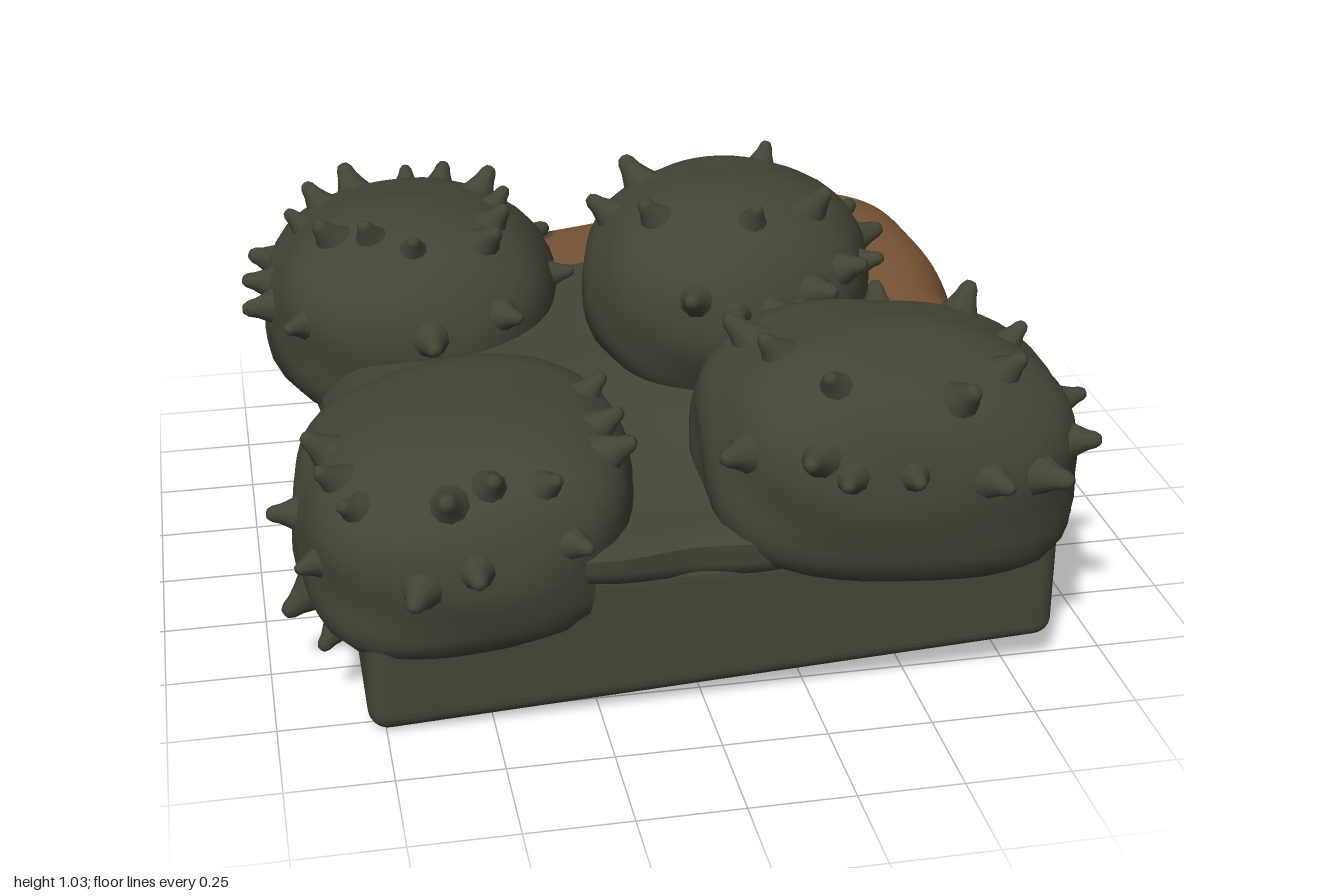
import * as THREE from 'three';
import { mergeGeometries } from 'three/addons/utils/BufferGeometryUtils.js';
import { RoundedBoxGeometry } from 'three/addons/geometries/RoundedBoxGeometry.js';

const rad = THREE.MathUtils.degToRad;
const smooth = THREE.MathUtils.smoothstep;

// Piecewise linear lookup through [x, y] points
function lerpList(list, x) {
  for (let i = 1; i < list.length; i++) {
    if (x <= list[i][0]) {
      const [a, b] = [list[i - 1], list[i]];
      return THREE.MathUtils.mapLinear(x, a[0], b[0], a[1], b[1]);
    }
  }
  return list[list.length - 1][1];
}

// Square slab whose underside slopes up to the right and back
function slab(material) {
  const top = 0.38;
  const g = new RoundedBoxGeometry(1.65, top, 1.65, 4, 0.05);
  const p = g.attributes.position;
  for (let i = 0; i < p.count; i++) {
    const x = p.getX(i), y = p.getY(i) + top / 2, z = p.getZ(i) - 0.01;
    const lift = 0.05 * (x + 0.78) + 0.055 * (0.8 - z);
    p.setXYZ(i, x + 0.035, y + lift * (1 - y / top), z);
  }
  g.computeVertexNormals();
  const mesh = new THREE.Mesh(g, material);
  mesh.name = 'baseSlab';
  return mesh;
}

// Mound: rounded-square rings running outward, then curling under the rim
function mound(green, brown) {
  const segs = 220, rings = 70, pos = [];
  const lip = [[1.0, 0.38], [0.99, 0.35], [0.95, 0.33], [0.85, 0.325]];
  const height = (x, z) => 0.45 + 0.13 * (1 - smooth(z, 0.05, 0.75)) + 0.03 * x
    + 0.115 * Math.exp(-((x - 0.5) ** 2 / 0.35 + (z + 0.55) ** 2 / 0.15))
    + 0.008 * Math.sin(9 * x + 3 * z) * Math.sin(8 * z);
  for (let i = 0; i < rings + lip.length; i++) {
    for (let j = 0; j < segs; j++) {
      const a = (j / segs) * Math.PI * 2, c = Math.cos(a), s = Math.sin(a);
      const r = (Math.abs(c) ** 8 + Math.abs(s) ** 8) ** (-1 / 8);
      const wobble = 0.01 * Math.sin(11 * a) + 0.008 * Math.sin(17 * a + 1);
      const u = i < rings ? Math.sin((i / (rings - 1)) * Math.PI / 2) : lip[i - rings][0];
      const k = u * r * (1 + wobble * u);
      const x = 0.06 + k * c * 0.88;
      const z = -0.04 + k * s * 0.865;
      const y = i < rings
        ? 0.42 + (height(x, z) - 0.42) * (1 - u ** 14)
        : lip[i - rings][1] + 0.01 * Math.sin(7 * a);
      pos.push(x, y, z);
    }
  }
  // Bare soil: inner edge as z over x, lower edge on the right side as y over z
  const edge = [[-0.15, -0.46], [0.0, -0.46], [0.12, -0.52], [0.25, -0.47], [0.4, -0.38],
    [0.5, -0.25], [0.57, 0.0], [0.62, 0.18], [0.7, 0.21], [0.81, 0.22], [0.87, 0.0], [0.95, -0.08]];
  const lower = [[-1, 0.52], [-0.85, 0.55], [-0.65, 0.58], [-0.52, 0.48], [-0.35, 0.56],
    [-0.22, 0.5], [-0.1, 0.55], [0.25, 0.54]];
  const isSoil = (x, y, z) => x > -0.12 - 0.05 * smooth(z, -0.75, -0.5) + 0.015 * Math.sin(14 * z)
    && z < lerpList(edge, x) && y > (x > 0.7 ? lerpList(lower, z) : 0.51);
  const lists = [[], []];
  for (let i = 0; i < rings + lip.length - 1; i++) {
    for (let j = 0; j < segs; j++) {
      const n = (j + 1) % segs;
      const a = i * segs + j, b = i * segs + n, c = b + segs, d = a + segs;
      const mid = [0, 1, 2].map(k => (pos[a * 3 + k] + pos[c * 3 + k]) / 2);
      const list = lists[isSoil(...mid) ? 1 : 0];
      if (i > 0) list.push(a, b, c);
      list.push(a, c, d);
    }
  }
  const g = new THREE.BufferGeometry();
  g.setAttribute('position', new THREE.Float32BufferAttribute(pos, 3));
  g.setIndex([...lists[0], ...lists[1]]);
  g.addGroup(0, lists[0].length, 0);
  g.addGroup(lists[0].length, lists[1].length, 1);
  g.computeVertexNormals();
  const mesh = new THREE.Mesh(g, [green, brown]);
  mesh.name = 'soilMound';
  return mesh;
}

// Small blunt thorn with a flared foot
const thornProfile = [[0.055, -0.025], [0.036, 0.008], [0.025, 0.032], [0.02, 0.052], [0.012, 0.064], [0, 0.067]]
  .map(([x, y]) => new THREE.Vector2(x, y));

// Squarish lumpy ball with thorns at [azimuth, elevation] in degrees (0 = +x, 90 = +z).
// plan, upper and lower set how square it is from above, over and under its middle;
// tilt is the slope of its crown along x and z.
function thornyBall({ name, at, size, plan, upper, lower, tilt, thorns }, material) {
  const surface = d => {
    const h = (Math.abs(d.x) ** plan + Math.abs(d.z) ** plan) ** (1 / plan);
    const power = d.y > 0 ? upper : lower;
    const lump = 1 + 0.018 * Math.sin(5 * d.x + 3 * d.y + at[0] * 9) * Math.sin(6 * d.z + 2)
      + 0.012 * Math.sin(9 * d.z + 7 * d.y);
    const r = (h ** power + Math.abs(d.y) ** power) ** (-1 / power) * lump;
    const q = new THREE.Vector3(d.x * size[0], d.y * size[1], d.z * size[2]).multiplyScalar(r);
    q.y += tilt[0] * q.x + tilt[1] * q.z;
    return q;
  };
  const group = new THREE.Group();
  group.name = name;
  group.position.set(...at);

  const g = new THREE.SphereGeometry(1, 40, 28);
  const p = g.attributes.position, nrm = g.attributes.normal, v = new THREE.Vector3();
  for (let i = 0; i < p.count; i++) {
    const q = surface(v.fromBufferAttribute(p, i).normalize());
    p.setXYZ(i, q.x, q.y, q.z);
  }
  g.computeVertexNormals();
  // Match the normals on both sides of the seam
  for (let i = 0; i <= 28; i++) {
    const a = i * 41, b = a + 40;
    v.fromBufferAttribute(nrm, a).add(new THREE.Vector3().fromBufferAttribute(nrm, b)).normalize();
    nrm.setXYZ(a, v.x, v.y, v.z);
    nrm.setXYZ(b, v.x, v.y, v.z);
  }
  const body = new THREE.Mesh(g, material);
  body.name = 'ballBody';
  group.add(body);

  const up = new THREE.Vector3(0, 1, 0);
  const parts = thorns.map(([az, el], i) => {
    const a = rad(az), e = rad(el);
    const d = new THREE.Vector3(Math.cos(a) * Math.cos(e), Math.sin(e), Math.sin(a) * Math.cos(e));
    const turn = new THREE.Quaternion().setFromUnitVectors(up, d);
    const s = 0.85 + 0.12 * (i % 3);
    return new THREE.LatheGeometry(thornProfile, 9)
      .applyMatrix4(new THREE.Matrix4().compose(surface(d), turn, new THREE.Vector3(s, s, s)));
  });
  const thornMesh = new THREE.Mesh(mergeGeometries(parts), material);
  thornMesh.name = 'thorns';
  group.add(thornMesh);
  return group;
}

// Evenly spaced thorns with a slight stagger
function ring(count, elevation, from = 0, sweep = 360) {
  return Array.from({ length: count }, (_, i) =>
    [from + (i * sweep) / count + 6 * Math.sin(i * 2.3), elevation + 5 * Math.sin(i * 1.7 + 1)]);
}

export function createModel() {
  const green = new THREE.MeshStandardMaterial({ color: 0x444536 });
  green.name = 'dark olive';
  const brown = new THREE.MeshStandardMaterial({ color: 0x765336 });
  brown.name = 'soil brown';

  const balls = [
    { name: 'backLeftBall', at: [-0.54, 0.56, -0.48], size: [0.39, 0.28, 0.46],
      plan: 2.4, upper: 2.2, lower: 3.6, tilt: [0, 0.08],
      thorns: [...ring(12, 50), ...ring(9, 8, 15), [262, 14], [275, -28], [165, 5]] },
    { name: 'frontLeftBall', at: [-0.52, 0.42, 0.44], size: [0.4, 0.25, 0.44],
      plan: 2.7, upper: 2.6, lower: 4.5, tilt: [0.08, 0],
      thorns: [...ring(9, 38, -10, 210), ...ring(5, 4, 60, 140), [170, -35], [150, -40]] },
    { name: 'middleBall', at: [0.22, 0.72, -0.01], size: [0.365, 0.29, 0.37],
      plan: 2.1, upper: 2.4, lower: 2.1, tilt: [0.02, 0],
      thorns: [...ring(8, 18, -50, 190), [40, 52], [85, 55], [150, 52], [215, 52], [305, 50], [190, 40]] },
    { name: 'frontRightBall', at: [0.48, 0.56, 0.58], size: [0.455, 0.29, 0.35],
      plan: 2.7, upper: 2.3, lower: 4, tilt: [-0.07, 0],
      thorns: [...ring(9, 46), ...ring(6, 10, 0, 180), [112, 8], [70, 6], [235, 40]] },
  ];

  const model = new THREE.Group();
  model.name = 'thornyPatch';
  model.add(slab(green), mound(green, brown));
  for (const ball of balls) model.add(thornyBall(ball, green));
  return model;
}
